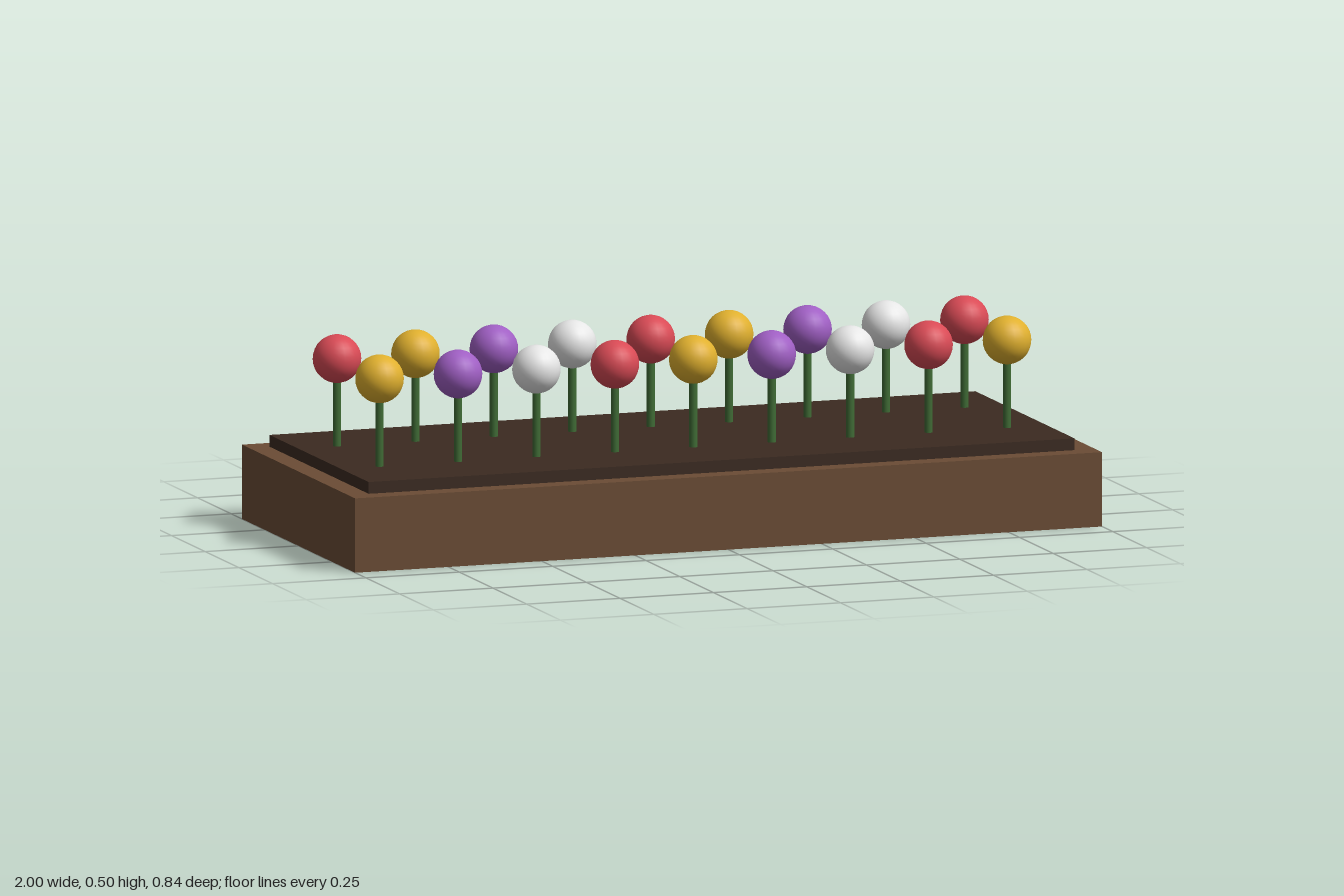
import * as THREE from 'three';

const mat = (name, color) => {
  const m = new THREE.MeshStandardMaterial({ color });
  m.name = name;
  return m;
};

export function createModel() {
  const group = new THREE.Group();
  group.name = 'flowerBed';

  const wood = mat('wood brown', 0x6b4c35);
  const soilMat = mat('soil brown', 0x3b2a20);
  const green = mat('stem green', 0x3f6b35);
  const petals = [
    mat('petal red', 0xd94a55),
    mat('petal yellow', 0xe0b02e),
    mat('petal purple', 0xa05fc4),
    mat('petal white', 0xe6e6e6),
  ];

  const add = (parent, name, geometry, material, x, y, z) => {
    const mesh = new THREE.Mesh(geometry, material);
    mesh.name = name;
    mesh.position.set(x, y, z);
    parent.add(mesh);
  };

  // Wooden planter with a raised slab of soil
  add(group, 'planter', new THREE.BoxGeometry(2, 0.19, 0.84), wood, 0, 0.095, 0);
  add(group, 'soil', new THREE.BoxGeometry(1.89, 0.12, 0.736), soilMat, 0, 0.16, 0);

  // Two rows of nine flowers; the front row's colours run one step ahead
  const stem = new THREE.CylinderGeometry(0.0105, 0.0105, 0.24, 12);
  const bloom = new THREE.SphereGeometry(0.0615, 24, 16);
  [-0.158, 0.158].forEach((z, row) => {
    for (let i = 0; i < 9; i++) {
      const flower = new THREE.Group();
      flower.name = 'flower';
      flower.position.set(-0.84 + 0.21 * i, 0, z);
      add(flower, 'stem', stem, green, 0, 0.3, 0);
      add(flower, 'bloom', bloom, petals[(i + row) % 4], 0, 0.4435, 0);
      group.add(flower);
    }
  });

  return group;
}
